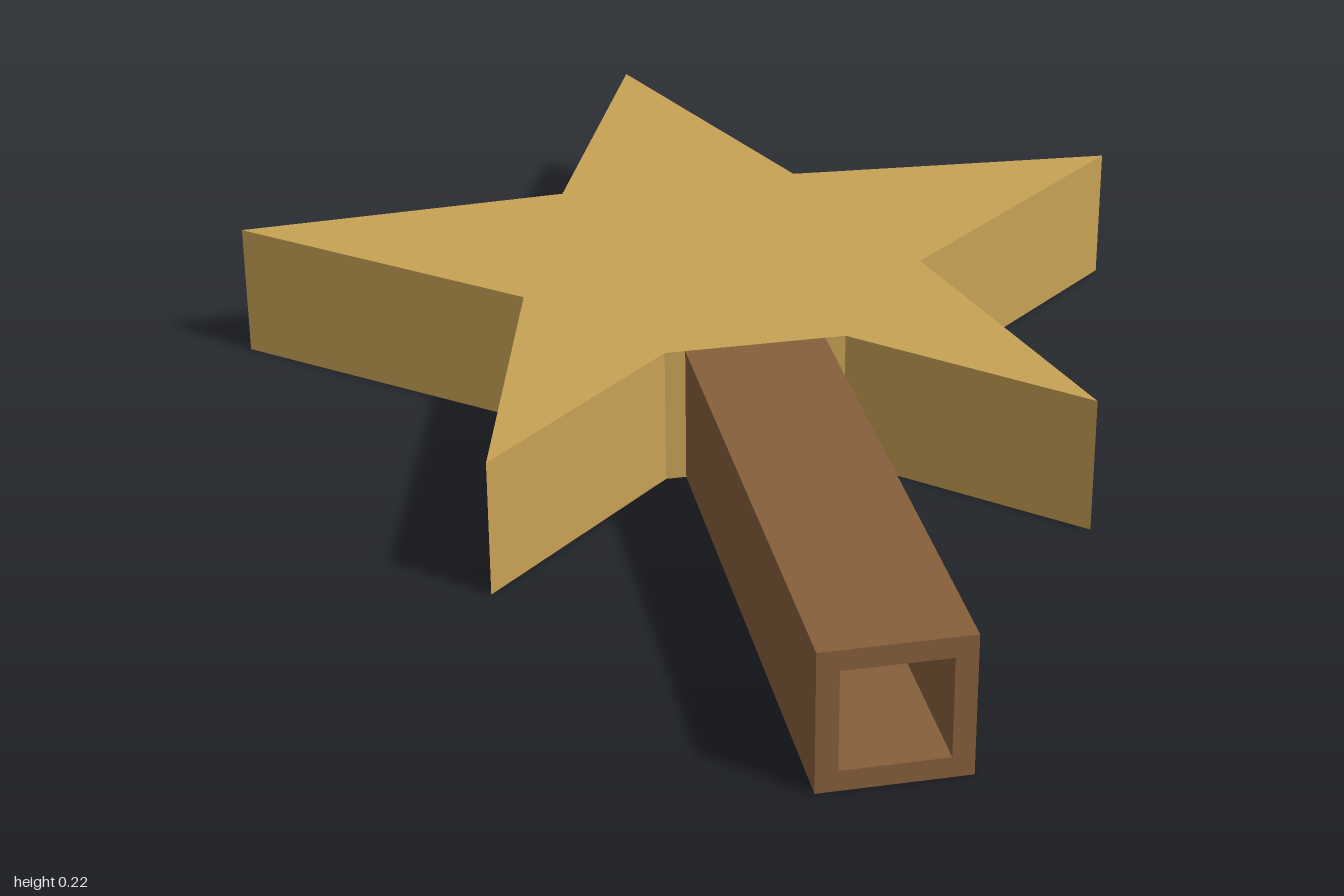
import * as THREE from 'three';

const THICK = 0.22;

function extrude(shape, depth, color, name) {
  const geometry = new THREE.ExtrudeGeometry(shape, { depth, bevelEnabled: false });
  const mesh = new THREE.Mesh(geometry, new THREE.MeshStandardMaterial({ color, flatShading: true }));
  mesh.name = name;
  return mesh;
}

function square(Type, half) {
  return new Type([[-half, -half], [half, -half], [half, half], [-half, half]]
    .map(([x, y]) => new THREE.Vector2(x, y)));
}

export function createModel() {
  const group = new THREE.Group();
  group.name = 'starWand';
  const gold = 0xc8a255, brown = 0x875f3b;

  // Five-pointed star; the notch facing the handle is cut flat
  const points = [];
  for (let i = 0; i < 10; i++) {
    const a = (i * Math.PI) / 5;
    const r = i % 2 ? 0.34 : 0.778;
    if (i === 5) points.push(new THREE.Vector2(0.142, -0.12), new THREE.Vector2(-0.142, -0.12));
    else points.push(new THREE.Vector2(r * Math.sin(a), 0.222 + r * Math.cos(a)));
  }
  const star = extrude(new THREE.Shape(points), THICK, gold, 'star');
  star.geometry.rotateX(-Math.PI / 2);
  group.add(star);

  // Square hollow handle, open at the front end
  const profile = square(THREE.Shape, THICK / 2);
  profile.holes.push(square(THREE.Path, 0.078));
  const handle = extrude(profile, 0.88, brown, 'handle');
  handle.position.set(0, THICK / 2, 0.12);
  group.add(handle);

  // Plug closing the inner end of the handle
  const plug = extrude(square(THREE.Shape, 0.078), 0.03, brown, 'handlePlug');
  plug.position.copy(handle.position);
  group.add(plug);

  return group;
}
